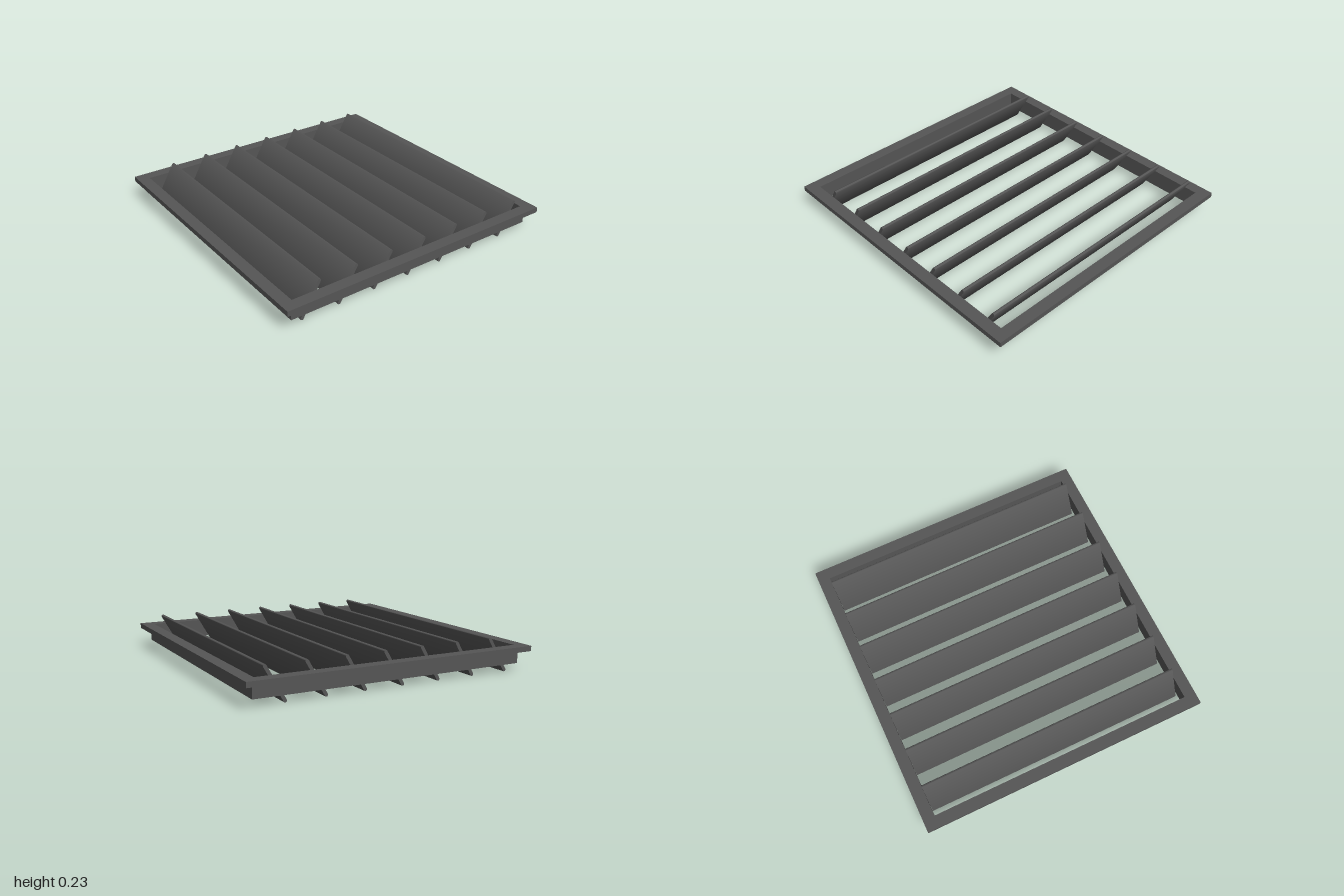
import * as THREE from 'three';
import { toCreasedNormals } from 'three/addons/utils/BufferGeometryUtils.js';

const SLAT_COUNT = 7;
const SLAT_PITCH = 0.2633;

// Square mitred ring: an L-section swept round four corners
function frameGeometry() {
  const section = [
    [0.92, 0.05], [0.94, 0.05], [0.94, 0.135], [1, 0.135],
    [1, 0.17], [0.92, 0.17], [0.92, 0.05],
  ].map(([r, y]) => new THREE.Vector2(r * Math.SQRT2, y));
  const geometry = new THREE.LatheGeometry(section, 4);
  geometry.rotateY(Math.PI / 4);
  return toCreasedNormals(geometry, 0.5);
}

// Long blade with rounded edges, its top leaning to the back
function slatGeometry() {
  const r = 0.011, half = 0.123, length = 1.838;
  const shape = new THREE.Shape();
  shape.moveTo(r, -half);
  shape.lineTo(r, half);
  shape.absarc(0, half, r, 0, Math.PI, false);
  shape.lineTo(-r, -half);
  shape.absarc(0, -half, r, Math.PI, Math.PI * 2, false);
  const geometry = new THREE.ExtrudeGeometry(shape, {
    depth: length, bevelEnabled: false, curveSegments: 8,
  });
  geometry.translate(0, 0, -length / 2);
  geometry.rotateY(Math.PI / 2);
  geometry.rotateX(-Math.PI / 6);
  return toCreasedNormals(geometry, 0.7);
}

export function createModel() {
  const model = new THREE.Group();
  model.name = 'louvreVent';
  const material = new THREE.MeshStandardMaterial({ color: 0x555555 });

  // Flange with the collar below it
  const frame = new THREE.Mesh(frameGeometry(), material);
  frame.name = 'frame';
  model.add(frame);

  // Row of slanted slats
  const slats = new THREE.Group();
  slats.name = 'slats';
  const geometry = slatGeometry();
  for (let i = 0; i < SLAT_COUNT; i++) {
    const slat = new THREE.Mesh(geometry, material);
    slat.name = `slat${i + 1}`;
    slat.position.set(0, 0.1175, (i - (SLAT_COUNT - 1) / 2) * SLAT_PITCH);
    slats.add(slat);
  }
  model.add(slats);
  return model;
}
